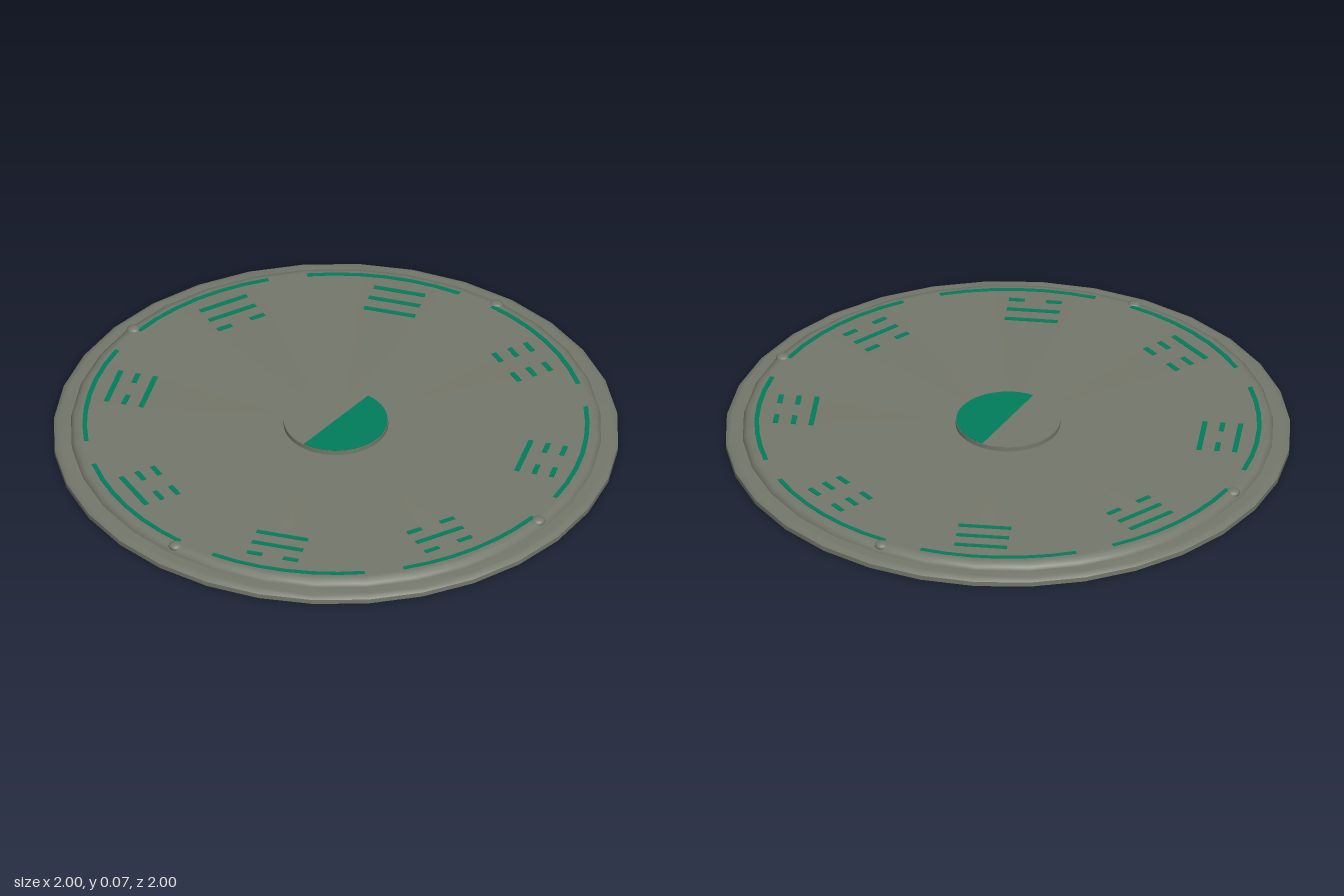
import * as THREE from 'three';
import { toCreasedNormals } from 'three/addons/utils/BufferGeometryUtils.js';

const stone = new THREE.MeshStandardMaterial({ color: 0x74776a });
stone.name = 'greyStone';
const green = new THREE.MeshStandardMaterial({ color: 0x007d5a });
green.name = 'jadeGreen';

const TOP = 0.053; // height of the upper face
const INLAY = 0.002; // thickness of the inlaid marks

function add(parent, name, geometry, material, x = 0, y = 0, z = 0) {
  const mesh = new THREE.Mesh(geometry, material);
  mesh.name = name;
  mesh.position.set(x, y, z);
  parent.add(mesh);
  return mesh;
}

function lathe(points, segments) {
  const profile = points.map(([r, y]) => new THREE.Vector2(r, y));
  return toCreasedNormals(new THREE.LatheGeometry(profile, segments), 0.75);
}

// Curved strip lying flat; angles run clockwise from the back, seen from above
function arcStrip(inner, outer, start, length) {
  const n = 6;
  const at = (r, i) => {
    const a = start + (length * i) / n;
    return new THREE.Vector2(Math.sin(a) * r, Math.cos(a) * r);
  };
  const points = [];
  for (let i = 0; i <= n; i++) points.push(at(outer, i));
  for (let i = n; i >= 0; i--) points.push(at(inner, i));
  const shape = new THREE.Shape(points);
  const geometry = new THREE.ExtrudeGeometry(shape, { depth: INLAY, bevelEnabled: false });
  return geometry.rotateX(-Math.PI / 2);
}

// Three stacked bars, listed from the centre outwards: 1 is whole, 0 is split
function barSign(rows) {
  const sign = new THREE.Group();
  sign.name = 'barSign';
  rows.forEach((whole, i) => {
    const z = -(0.69 + i * 0.0635);
    const pieces = whole ? [[0, 0.188]] : [[-0.066, 0.056], [0.066, 0.056]];
    for (const [x, length] of pieces) {
      add(sign, 'signBar', new THREE.BoxGeometry(length, INLAY, 0.018), green, x, TOP + INLAY / 2, z);
    }
  });
  return sign;
}

export function createModel() {
  const model = new THREE.Group();
  model.name = 'roundDisc';

  // Stepped disc with rounded edges and a shallow recess underneath
  add(model, 'baseDisc', lathe([
    [0, 0.01], [0.985, 0.01], [0.99, 0], [1, 0], [1, 0.017], [0.985, 0.028], [0.975, 0.029], [0.92, 0.029],
  ], 32), stone);
  add(model, 'upperDisc', lathe([
    [0.94, 0.027], [0.936, 0.04], [0.925, 0.049], [0.908, TOP], [0.9, TOP], [0, TOP],
  ], 32), stone);

  // Raised hub with a green front half
  const hub = new THREE.CylinderGeometry(0.185, 0.185, 0.02, 48);
  add(model, 'hub', hub, stone, 0, 0.06, 0);
  const half = new THREE.CylinderGeometry(0.183, 0.183, 0.002, 24, 1, false, -Math.PI / 2, Math.PI);
  add(model, 'hubGreenHalf', half, green, 0, 0.0705, 0);

  // Four round studs on the rim
  for (let i = 0; i < 4; i++) {
    const a = (i * Math.PI) / 2;
    const stud = add(model, 'rimStud', new THREE.SphereGeometry(0.025, 16, 10), stone,
      Math.sin(a) * 0.912, 0.047, Math.cos(a) * 0.912);
    stud.scale.y = 0.56;
  }

  // Eight arcs and eight bar signs, clockwise from the back
  const signs = [
    [0, 1, 1], [1, 1, 1], [0, 0, 0], [1, 0, 0],
    [0, 1, 0], [1, 1, 0], [0, 0, 1], [1, 0, 1],
  ];
  signs.forEach((rows, i) => {
    const a = (i * Math.PI) / 4;
    add(model, 'edgeArc', arcStrip(0.88, 0.896, a, Math.PI / 5), green, 0, TOP, 0);
    const sign = barSign(rows);
    sign.rotation.y = -(a + Math.PI / 8);
    model.add(sign);
  });

  return model;
}
